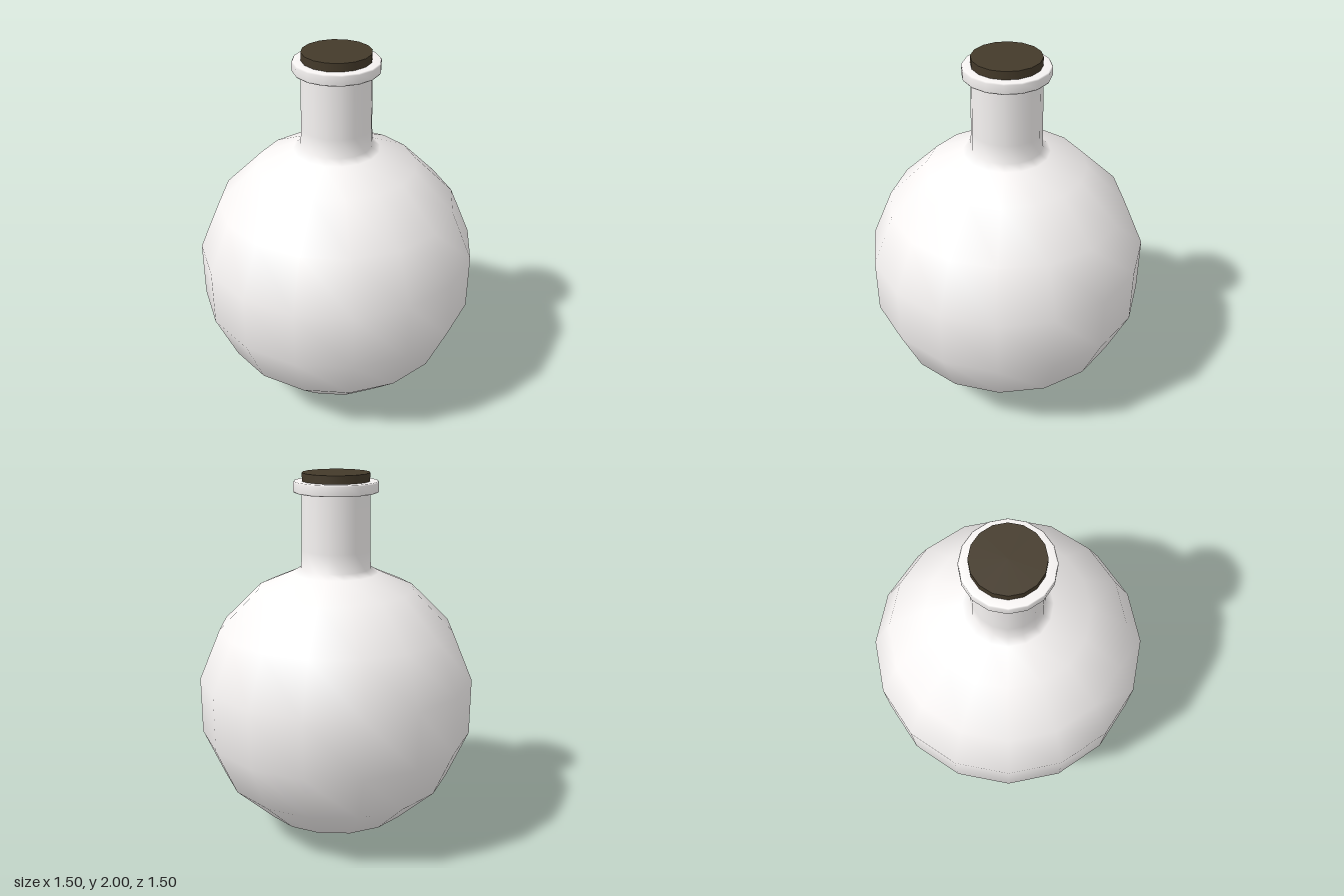
import * as THREE from 'three';

const SIDES = 16;

// Revolve a list of [radius, height] points, bottom to top
function revolve(name, points, material) {
  const profile = points.map(([r, y]) => new THREE.Vector2(r, y));
  const mesh = new THREE.Mesh(new THREE.LatheGeometry(profile, SIDES), material);
  mesh.name = name;
  return mesh;
}

export function createModel() {
  const group = new THREE.Group();
  group.name = 'flask';
  const glass = new THREE.MeshStandardMaterial({ color: 0xf6f3f2 });
  const cork = new THREE.MeshStandardMaterial({ color: 0x443a2a });

  // Round body with a small flat base, flowing into the neck
  group.add(revolve('body', [
    [0, 0], [0.15, 0], [0.425, 0.12], [0.637, 0.33], [0.752, 0.6], [0.752, 0.91],
    [0.637, 1.18], [0.425, 1.39], [0.23, 1.475], [0.19, 1.5], [0.186, 1.6], [0.182, 1.92],
  ], glass));

  // Flat ring around the mouth with slightly softened edges
  group.add(revolve('lip', [
    [0.175, 1.9], [0.222, 1.9], [0.227, 1.907], [0.227, 1.95], [0.222, 1.957], [0.175, 1.957],
  ], glass));

  // Stopper seated in the mouth
  const stopper = new THREE.Mesh(new THREE.CylinderGeometry(0.18, 0.18, 0.08, SIDES), cork);
  stopper.name = 'stopper';
  stopper.position.y = 1.96;
  group.add(stopper);

  return group;
}
